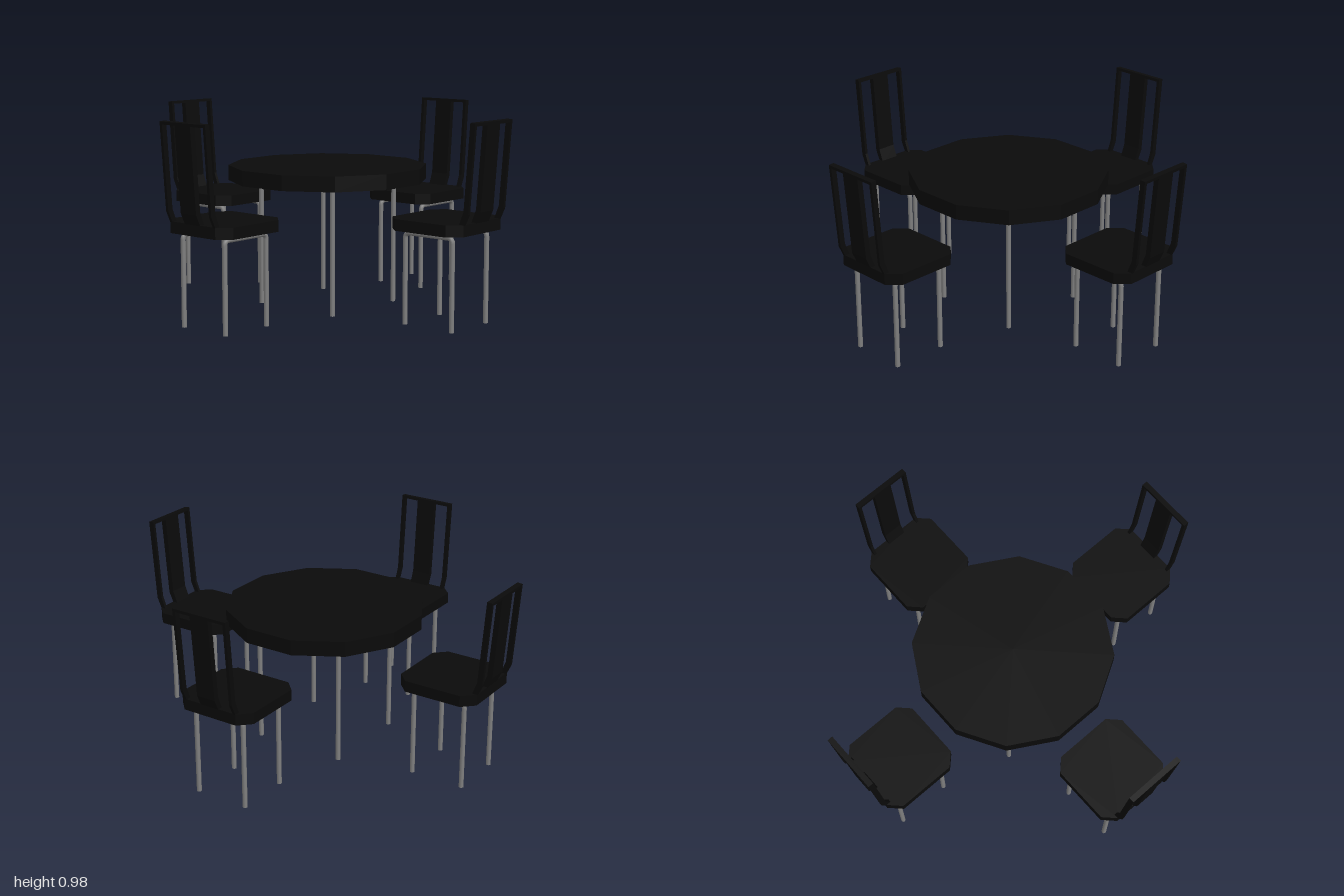
import * as THREE from 'three';

const black = new THREE.MeshStandardMaterial({ color: 0x0a0a0a, flatShading: true });
const metal = new THREE.MeshStandardMaterial({ color: 0x808080 });

function add(parent, name, geometry, material, x = 0, y = 0, z = 0) {
  const mesh = new THREE.Mesh(geometry, material);
  mesh.name = name;
  mesh.position.set(x, y, z);
  parent.add(mesh);
  return mesh;
}

// Extrudes a side profile of [z, y] points across a width centred on x = 0
function sideExtrude(points, width) {
  const shape = new THREE.Shape(points.map(([z, y]) => new THREE.Vector2(z, y)));
  return new THREE.ExtrudeGeometry(shape, { depth: width, bevelEnabled: false })
    .translate(0, 0, -width / 2)
    .rotateY(-Math.PI / 2);
}

// Square seat with cut corners
function seatGeometry(half, cut, thickness) {
  const a = half, b = half - cut;
  const outline = [[a, -b], [a, b], [b, a], [-b, a], [-a, b], [-a, -b], [-b, -a], [b, -a]];
  const shape = new THREE.Shape(outline.map(([x, y]) => new THREE.Vector2(x, y)));
  return new THREE.ExtrudeGeometry(shape, { depth: thickness, bevelEnabled: false })
    .rotateX(-Math.PI / 2);
}

// Inverted U of bent tube, running front to back
function legLoopGeometry(reach, height, bend, radius) {
  const v = (y, z) => new THREE.Vector3(0, y, z);
  const path = new THREE.CurvePath();
  path.add(new THREE.LineCurve3(v(0, -reach), v(height - bend, -reach)));
  path.add(new THREE.QuadraticBezierCurve3(v(height - bend, -reach), v(height, -reach), v(height, bend - reach)));
  path.add(new THREE.LineCurve3(v(height, bend - reach), v(height, reach - bend)));
  path.add(new THREE.QuadraticBezierCurve3(v(height, reach - bend), v(height, reach), v(height - bend, reach)));
  path.add(new THREE.LineCurve3(v(height - bend, reach), v(0, reach)));
  return new THREE.TubeGeometry(path, 120, radius, 8);
}

// Chair centred on its seat, with its back towards +z
function createChair() {
  const chair = new THREE.Group();
  chair.name = 'chair';
  add(chair, 'seat', seatGeometry(0.205, 0.058, 0.055), black, 0, 0.455, 0);

  // Backrest: two thin uprights, a broad centre slat and a top rail
  const profile = [[0.172, 0.49], [0.197, 0.49], [0.229, 0.56], [0.261, 0.975], [0.234, 0.977], [0.203, 0.57]];
  const rail = [[0.233, 0.963], [0.26, 0.961], [0.261, 0.975], [0.234, 0.977]];
  add(chair, 'backSlat', sideExtrude(profile, 0.1), black);
  add(chair, 'topRail', sideExtrude(rail, 0.295), black);

  const loop = legLoopGeometry(0.136, 0.44, 0.025, 0.012);
  const foot = new THREE.CircleGeometry(0.012, 8).rotateX(Math.PI / 2);
  for (const side of [-1, 1]) {
    add(chair, 'backUpright', sideExtrude(profile, 0.015), black, side * 0.14, 0, 0);
    add(chair, 'legLoop', loop, metal, side * 0.136, 0, 0);
    for (const end of [-1, 1]) add(chair, 'footCap', foot, metal, side * 0.136, 0, end * 0.136);
  }
  return chair;
}

function createTable() {
  const table = new THREE.Group();
  table.name = 'table';
  // Twelve-sided top with flat edges facing the chairs
  const top = new THREE.CylinderGeometry(0.496, 0.496, 0.075, 12).rotateY(Math.PI / 12);
  add(table, 'tableTop', top, black, 0, 0.665, 0);
  const leg = new THREE.CylinderGeometry(0.012, 0.012, 0.635, 8);
  for (const x of [-1, 1]) {
    for (const z of [-1, 1]) add(table, 'tableLeg', leg, metal, x * 0.235, 0.3175, z * 0.235);
  }
  return table;
}

export function createModel() {
  const model = new THREE.Group();
  model.name = 'diningSet';
  model.add(createTable());
  // Four chairs around the table, all facing it
  for (let i = 0; i < 4; i++) {
    const chair = createChair();
    const angle = i * Math.PI / 2;
    const distance = i % 2 ? 0.739 : 0.73;
    chair.rotation.y = angle;
    chair.position.set(Math.sin(angle) * distance, 0, Math.cos(angle) * distance);
    model.add(chair);
  }
  return model;
}
